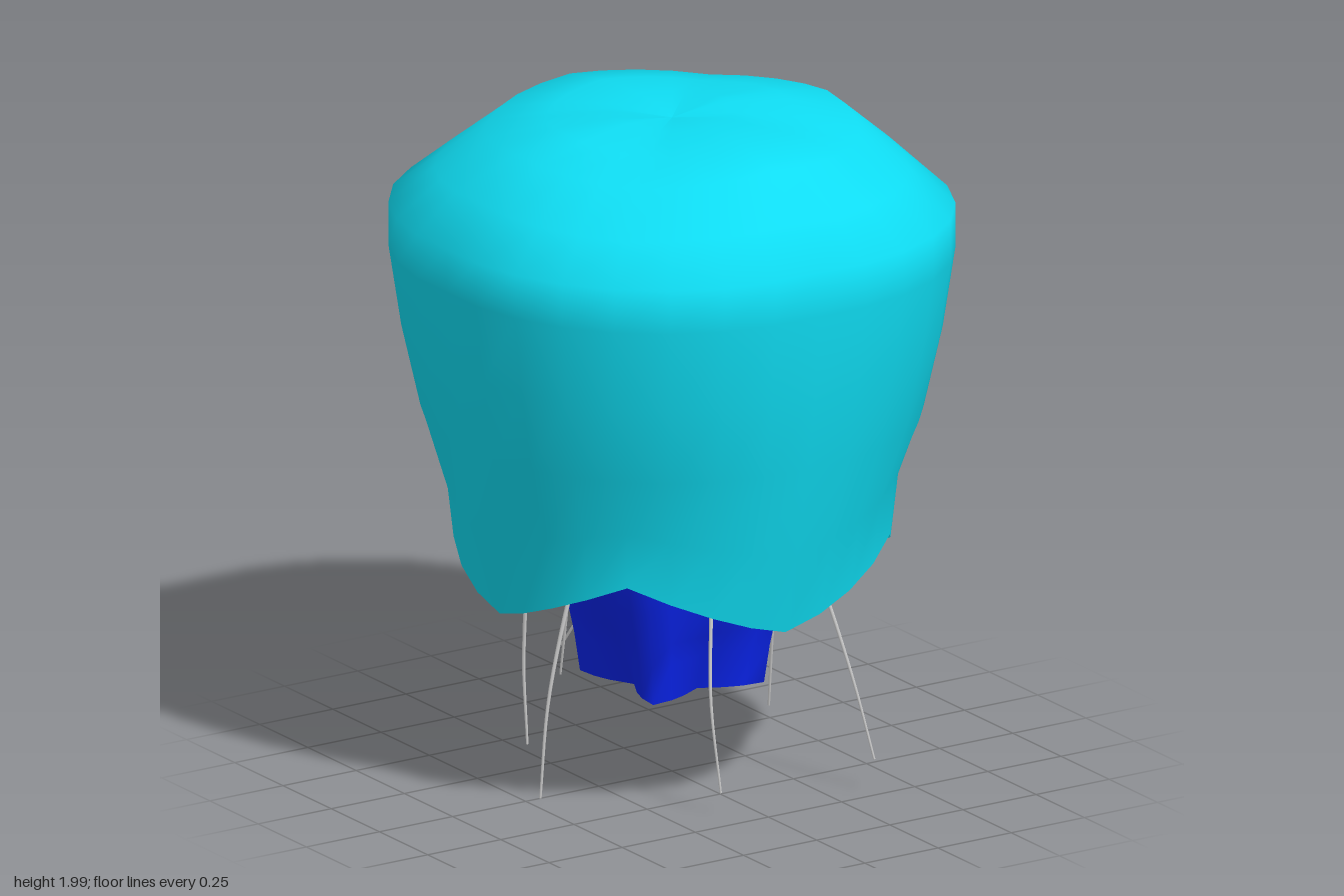
import * as THREE from 'three';

const paint = (color) => new THREE.MeshStandardMaterial({ color, side: THREE.DoubleSide });

// 0 on the x and z axes, 1 on the diagonals between them
const diagonal = (a) => {
  const t = (a / (Math.PI / 2)) % 1;
  return 1 - Math.abs(2 * t - 1);
};

// Surface through closed rings; point(row, angle) gives [radius, y]
function loft(rows, segments, point) {
  const pos = [], index = [];
  for (let i = 0; i < rows; i++) {
    for (let j = 0; j < segments; j++) {
      const a = (j / segments) * Math.PI * 2;
      const [r, y] = point(i, a);
      pos.push(r * Math.sin(a), y, r * Math.cos(a));
      if (i === rows - 1) continue;
      const n = (j + 1) % segments, p = i * segments;
      index.push(p + j, p + segments + j, p + n, p + n, p + segments + j, p + segments + n);
    }
  }
  const g = new THREE.BufferGeometry();
  g.setAttribute('position', new THREE.Float32BufferAttribute(pos, 3));
  g.setIndex(index);
  g.computeVertexNormals();
  return g;
}

// Outer bell: four joined petals, pointed on the axes and notched on the diagonals
function bell() {
  // radius, y, bulge of the diagonals, drop of the diagonals
  const profile = [
    [0.001, 1.965, 0, 0], [0.18, 1.99, 0, 0.01], [0.36, 1.98, 0, 0.02],
    [0.53, 1.95, 0.01, 0.03], [0.66, 1.83, 0.03, 0.02], [0.77, 1.71, 0.055, 0],
    [0.77, 1.58, 0.055, 0], [0.745, 1.34, 0.04, 0], [0.705, 1.1, 0.02, 0],
    [0.645, 0.82, 0.01, 0.09], [0.588, 0.58, 0.075, -0.175],
  ];
  return loft(profile.length, 32, (i, a) => {
    const [r, y, bulge, drop] = profile[i];
    const d = diagonal(a);
    if (i === 9) return [r * (1 - 0.0 * d), y + 0.1 * d];
    if (i === 10) return [r + 0.047 * d, y - drop * Math.pow(d, 1.2)];
    return [r * (1 + bulge * Math.sin(d * Math.PI / 2)), y - drop * d];
  });
}

// Inner tube: round at the top, drawn in to a four-pointed star at the mouth
function tube() {
  // y, radius on the axes, radius on the diagonals
  const rings = [
    [1.2, 0.2, 0.22], [0.95, 0.3, 0.33], [0.77, 0.31, 0.35], [0.66, 0.29, 0.335],
    [0.57, 0.265, 0.32], [0.47, 0.21, 0.3], [0.4, 0.175, 0.285], [0.285, 0.13, 0.268],
  ];
  return loft(rings.length, 32, (i, a) => {
    const [y, axis, corner] = rings[i];
    return [THREE.MathUtils.lerp(axis, corner, Math.pow(diagonal(a), 1.5)), y];
  });
}

// Thin bent filament that tapers to its tip
function filament(points) {
  const [x, , z] = points[0];
  const path = [[x * 0.6, 1.05, z * 0.6], ...points].map((p) => new THREE.Vector3(...p));
  const curve = new THREE.CatmullRomCurve3(path);
  const steps = 20, sides = 6;
  const g = new THREE.TubeGeometry(curve, steps, 0.009, sides);
  const pos = g.attributes.position, v = new THREE.Vector3();
  for (let i = 0; i <= steps; i++) {
    const centre = curve.getPointAt(i / steps);
    for (let j = 0; j <= sides; j++) {
      const k = i * (sides + 1) + j;
      v.fromBufferAttribute(pos, k).sub(centre).multiplyScalar(1 - 0.6 * i / steps).add(centre);
      pos.setXYZ(k, v.x, v.y, v.z);
    }
  }
  return g;
}

export function createModel() {
  const model = new THREE.Group();
  model.name = 'bellFlower';
  const add = (name, geometry, material, parent = model) => {
    const m = new THREE.Mesh(geometry, material);
    m.name = name;
    parent.add(m);
  };
  add('outerPetals', bell(), paint(0x0fdcf2));
  add('innerTube', tube(), paint(0x0a24ee));

  // Stamens hanging out below the petals: start, middle, tip
  const stamens = new THREE.Group();
  stamens.name = 'stamens';
  model.add(stamens);
  const stalk = paint(0xcccccc);
  [
    [[-0.32, 0.69, 0], [-0.42, 0.3, 0], [-0.45, 0, 0]],
    [[-0.3, 0.7, -0.25], [-0.315, 0.35, -0.29], [-0.31, 0.06, -0.28]],
    [[-0.08, 0.69, 0.32], [-0.125, 0.35, 0.39], [-0.11, 0.07, 0.42]],
    [[-0.14, 0.7, -0.31], [-0.09, 0.45, -0.4], [-0.065, 0.17, -0.48]],
    [[0.25, 0.71, -0.31], [0.1, 0.42, -0.5], [0.05, 0.19, -0.65]],
    [[0.26, 0.69, 0.33], [0.33, 0.35, 0.43], [0.375, 0.1, 0.48]],
    [[0.34, 0.69, 0.03], [0.39, 0.35, -0.07], [0.41, 0.09, -0.12]],
  ].forEach((p, i) => add(`stamen${i + 1}`, filament(p), stalk, stamens));
  return model;
}
